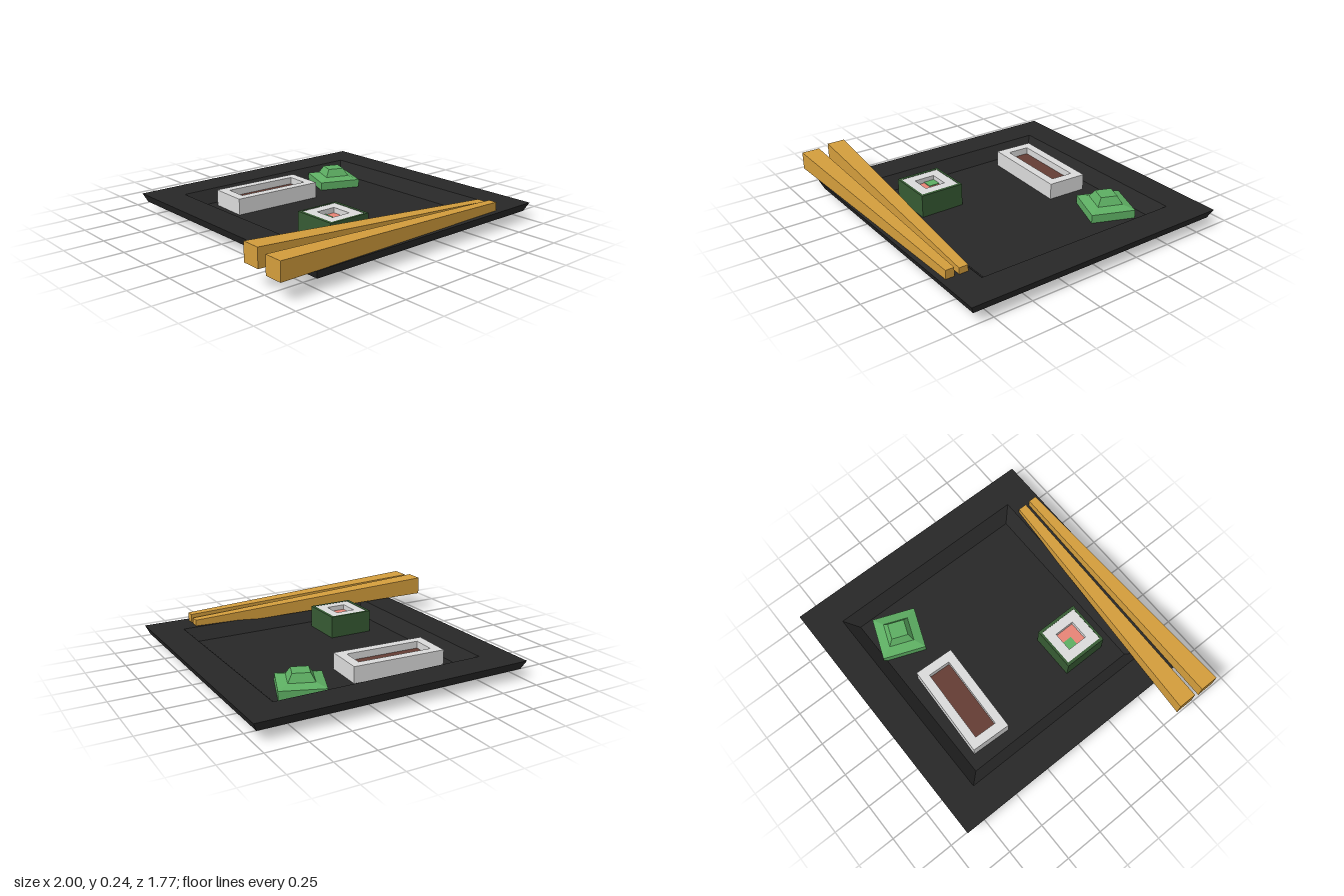
import * as THREE from 'three';

const mat = (name, color) => {
  const m = new THREE.MeshStandardMaterial({ color });
  m.name = name;
  return m;
};

// Square turned form: profile points are [half side, height], bottom to top
function squareLathe(profile) {
  const pts = profile.map(([h, y]) => new THREE.Vector2(h * Math.SQRT2, y));
  const g = new THREE.LatheGeometry(pts, 4, Math.PI / 4).toNonIndexed();
  g.computeVertexNormals();
  return g;
}

// Upright rectangular frame, open top to bottom, from y0 to y1
function frame(w, d, holeW, holeD, y0, y1) {
  const rect = (path, a, b) => path.moveTo(-a / 2, -b / 2).lineTo(a / 2, -b / 2)
    .lineTo(a / 2, b / 2).lineTo(-a / 2, b / 2).closePath();
  const shape = rect(new THREE.Shape(), w, d);
  shape.holes.push(rect(new THREE.Path(), holeW, holeD));
  return new THREE.ExtrudeGeometry(shape, { depth: y1 - y0, bevelEnabled: false })
    .rotateX(-Math.PI / 2).translate(0, y0, 0);
}

// Block standing from y0 to y1
const block = (w, d, y0, y1, x = 0, z = 0) =>
  new THREE.BoxGeometry(w, y1 - y0, d).translate(x, (y0 + y1) / 2, z);

// Tapered stick along x; each end is { x, y: [low, high], z: [back, front] }
function stick(a, b) {
  const g = new THREE.BoxGeometry(1, 1, 1).toNonIndexed();
  const p = g.attributes.position;
  for (let i = 0; i < p.count; i++) {
    const end = p.getX(i) < 0 ? a : b;
    p.setXYZ(i, end.x, end.y[p.getY(i) < 0 ? 0 : 1], end.z[p.getZ(i) < 0 ? 0 : 1]);
  }
  g.computeVertexNormals();
  return g;
}

export function createModel() {
  const root = new THREE.Group();
  root.name = 'sushiPlate';
  const black = mat('plate black', 0x272727);
  const rice = mat('rice white', 0xdadada);
  const brown = mat('filling brown', 0x643d34);
  const lightGreen = mat('wasabi green', 0x5dae62);
  const seaweed = mat('seaweed green', 0x365a33);
  const salmon = mat('salmon pink', 0xe88577);
  const wood = mat('chopstick wood', 0xd39d3c);
  const floor = 0.035;

  const add = (name, geometry, material, parent = root) => {
    const m = new THREE.Mesh(geometry, material);
    m.name = name;
    parent.add(m);
    return m;
  };
  const group = (name, x, z, turn = 0) => {
    const g = new THREE.Group();
    g.name = name;
    g.position.set(x, 0, z);
    g.rotation.y = turn;
    root.add(g);
    return g;
  };

  // Plate with sloping underside and sunken floor
  add('plate', squareLathe([[0, 0], [0.7, 0], [0.86, 0.055], [0.885, 0.11],
    [0.685, 0.11], [0.61, floor], [0, floor]]), black).position.x = 0.115;

  // Long rice piece with sunken filling
  const nigiri = group('ricePiece', -0.103, -0.408, -0.04);
  add('riceFrame', frame(0.615, 0.262, 0.495, 0.148, floor, 0.14), rice, nigiri);
  add('riceFilling', block(0.495, 0.148, floor, 0.095), brown, nigiri);

  // Square roll: seaweed wrap, rice, salmon and a green corner
  const roll = group('roll', -0.215, 0.38);
  add('seaweedWrap', frame(0.295, 0.29, 0.255, 0.26, floor, 0.18), seaweed, roll);
  add('rollRice', frame(0.255, 0.26, 0.13, 0.135, floor, 0.178), rice, roll);
  add('rollSalmon', block(0.13, 0.135, floor, 0.145), salmon, roll);
  add('rollGreen', block(0.066, 0.07, floor, 0.15, -0.032, -0.0325), lightGreen, roll);

  // Stepped wasabi mound
  const mound = group('wasabi', 0.515, -0.447, -0.37);
  add('wasabiMound', squareLathe([[0, floor], [0.14, floor], [0.14, 0.088],
    [0.08, 0.106], [0.053, 0.155], [0, 0.155]]), lightGreen, mound);

  // Chopsticks resting over the front rim
  add('frontChopstick', stick({ x: -1, y: [0.11, 0.225], z: [0.765, 0.885] },
    { x: 0.705, y: [0.11, 0.165], z: [0.795, 0.85] }), wood);
  add('backChopstick', stick({ x: -1, y: [0.125, 0.243], z: [0.58, 0.7] },
    { x: 0.705, y: [0.09, 0.15], z: [0.707, 0.765] }), wood);

  return root;
}
